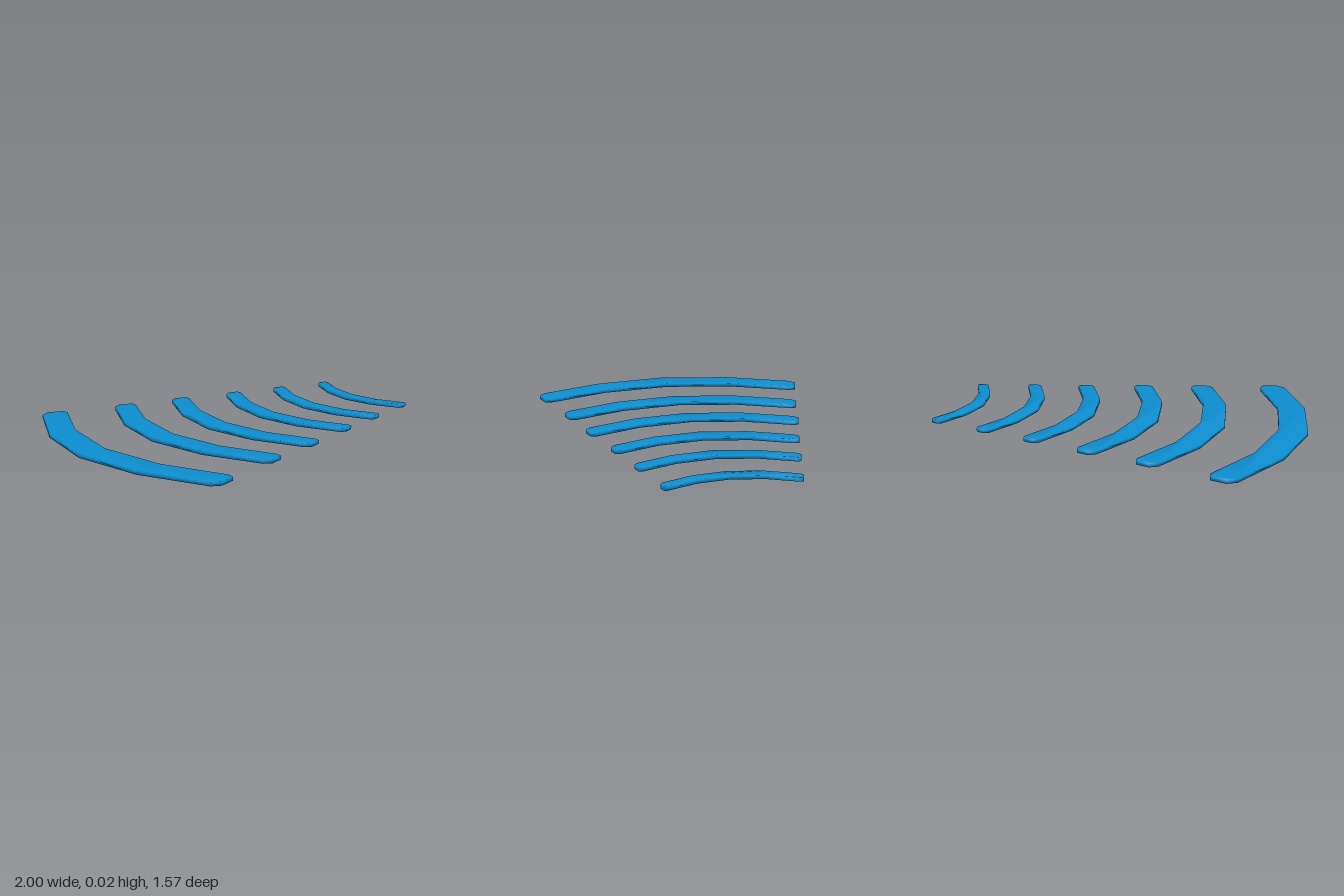
import * as THREE from 'three';
import { mergeVertices } from 'three/addons/utils/BufferGeometryUtils.js';

const HEIGHT = 0.02;

// One half of the curved bar outline, from the middle of the outer edge
// around the blunt tip to the middle of the inner edge: [x, z]
const HALF = [
  [0, 0], [0.07, 0.403], [0.235, 0.757], [0.285, 0.785],
  [0.368, 0.76], [0.373, 0.72], [0.22, 0.387], [0.155, 0],
];

// Thin plate with welded corners, so its shading rolls softly over the rim
function curvedBarGeometry(scale) {
  const mirrored = HALF.slice(1, -1).reverse().map(([x, z]) => [x, -z]);
  const outline = [...HALF, ...mirrored].map(([x, z]) => new THREE.Vector2(x * scale, z * scale));
  const geometry = new THREE.ExtrudeGeometry(new THREE.Shape(outline), { depth: HEIGHT, bevelEnabled: false });
  geometry.rotateX(-Math.PI / 2);
  geometry.deleteAttribute('normal');
  geometry.deleteAttribute('uv');
  const welded = mergeVertices(geometry, 1e-4);
  welded.computeVertexNormals();
  return welded;
}

export function createModel() {
  const group = new THREE.Group();
  group.name = 'curvedBars';
  const blue = new THREE.MeshStandardMaterial({ color: 0x0d8fd1 });

  // Row of bars shrinking from right to left: [outer edge x, scale]
  const bars = [[-1, 1], [-0.555, 0.86], [-0.186, 0.754], [0.178, 0.638], [0.506, 0.54], [0.835, 0.442]];
  bars.forEach(([x, scale], i) => {
    const bar = new THREE.Mesh(curvedBarGeometry(scale), blue);
    bar.name = `curvedBar${i + 1}`;
    bar.position.x = x;
    group.add(bar);
  });
  return group;
}
